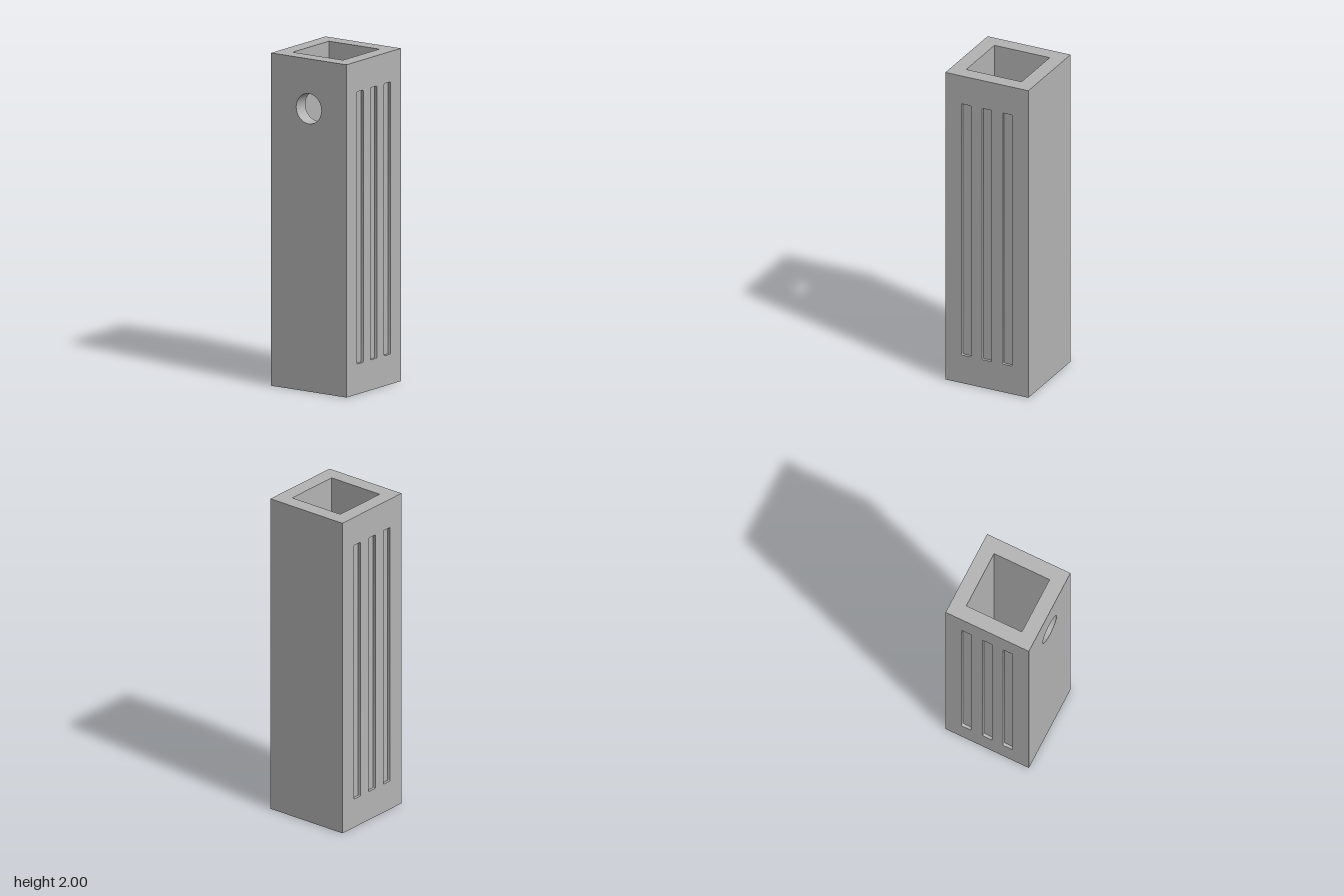
import * as THREE from 'three';
import { mergeGeometries, toCreasedNormals } from 'three/addons/utils/BufferGeometryUtils.js';

const H = 2, OUT = 0.273, IN = 0.182;
const SLOT_DEPTH = 0.018;

const grey = new THREE.MeshStandardMaterial({ color: 0xb3b3b3 });
grey.name = 'stone grey';

// Counter-clockwise outlines
function rect(cx, cy, w, h) {
  const x = w / 2, y = h / 2;
  return [[-x, -y], [x, -y], [x, y], [-x, y]].map(([a, b]) => new THREE.Vector2(cx + a, cy + b));
}

function roundRect(cx, cy, w, h, r) {
  const pts = [];
  rect(cx, cy, w - 2 * r, h - 2 * r).forEach((c, i) => {
    for (let k = 0; k <= 3; k++) {
      const a = Math.PI + (i + k / 3) * Math.PI / 2;
      pts.push(new THREE.Vector2(c.x + r * Math.cos(a), c.y + r * Math.sin(a)));
    }
  });
  return pts;
}

function circle(cx, cy, r, n) {
  return Array.from({ length: n }, (_, i) => {
    const a = i / n * Math.PI * 2;
    return new THREE.Vector2(cx + r * Math.cos(a), cy + r * Math.sin(a));
  });
}

// Flat face toward +z with cut-outs
function panel(outline, holes = [], z = 0) {
  const shape = new THREE.Shape(outline);
  holes.forEach(h => shape.holes.push(new THREE.Path(h)));
  return new THREE.ShapeGeometry(shape).toNonIndexed().translate(0, 0, z);
}

// Inward-facing wall around a cut-out, running back from z to z - depth
function cutWall(pts, z, depth) {
  const pos = [], uv = [];
  pts.forEach((a, i) => {
    const b = pts[(i + 1) % pts.length], d = z - depth;
    pos.push(a.x, a.y, z, b.x, b.y, z, b.x, b.y, d, a.x, a.y, z, b.x, b.y, d, a.x, a.y, d);
    uv.push(0, 0, 1, 0, 1, 1, 0, 0, 1, 1, 0, 1);
  });
  const g = new THREE.BufferGeometry();
  g.setAttribute('position', new THREE.Float32BufferAttribute(pos, 3));
  g.setAttribute('uv', new THREE.Float32BufferAttribute(uv, 2));
  g.computeVertexNormals();
  return toCreasedNormals(g, Math.PI / 5);
}

export function createModel() {
  const model = new THREE.Group();
  model.name = 'squarePillar';
  const add = (name, parts) => {
    const mesh = new THREE.Mesh(mergeGeometries(parts), grey);
    mesh.name = name;
    model.add(mesh);
    return mesh;
  };

  const side = rect(0, H / 2, OUT * 2, H);
  const bore = rect(0, H / 2, IN * 2, H);
  const port = circle(0, 1.7, 0.0909, 40);
  const slots = [-0.136, 0, 0.136].map(x => roundRect(x, 1, 0.062, 1.636, 0.005));

  // Front and back faces with three shallow grooves
  for (const [name, turn] of [['frontFace', 0], ['backFace', Math.PI]]) {
    const parts = [panel(side, slots, OUT)];
    for (const s of slots) {
      parts.push(cutWall(s, OUT, SLOT_DEPTH), panel(s, [], OUT - SLOT_DEPTH));
    }
    add(name, parts).rotation.y = turn;
  }

  // Plain left side, and right side pierced by a round port
  add('leftFace', [panel(side, [], OUT)]).rotation.y = Math.PI / 2;
  add('rightFace', [panel(side, [port], OUT), cutWall(port, OUT, OUT - IN)]).rotation.y = -Math.PI / 2;

  // Inner faces of the square bore
  for (let i = 0; i < 4; i++) {
    add('boreWall' + (i + 1), [panel(bore, i === 1 ? [port] : [], -IN)]).rotation.y = i * Math.PI / 2;
  }

  // Top and bottom rims; the bottom has a small blind pin hole in one corner
  const square = rect(0, 0, OUT * 2, OUT * 2), opening = rect(0, 0, IN * 2, IN * 2);
  const top = add('topRim', [panel(square, [opening])]);
  top.rotation.x = -Math.PI / 2;
  top.position.y = H;

  const pin = circle(0.228, -0.228, 0.02, 20);
  add('bottomRim', [
    panel(square, [opening, pin]), cutWall(pin, 0, 0.1), panel(pin, [], -0.1),
  ]).rotation.x = Math.PI / 2;

  return model;
}
